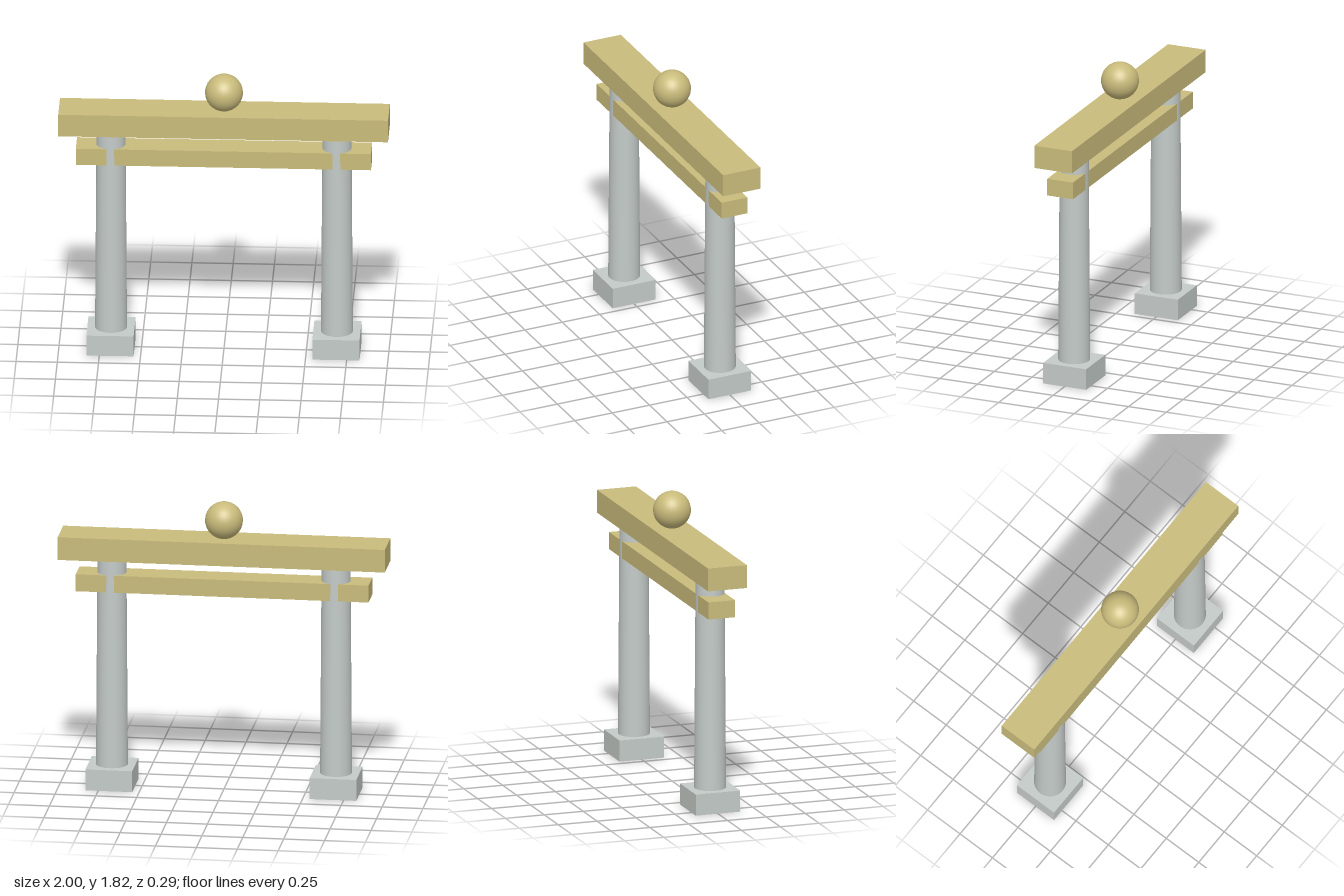
import * as THREE from 'three';

export function createModel() {
  const model = new THREE.Group();
  model.name = 'gateway';

  const stone = new THREE.MeshStandardMaterial({ color: 0xc3cac7 });
  stone.name = 'pale grey stone';
  const gold = new THREE.MeshStandardMaterial({ color: 0xc9bb7b });
  gold.name = 'pale gold';

  function add(name, geometry, material, x, y) {
    const mesh = new THREE.Mesh(geometry, material);
    mesh.name = name;
    mesh.position.set(x, y, 0);
    model.add(mesh);
  }

  // Square plinths and tapering round columns
  const baseHeight = 0.132, columnTop = 1.445;
  const columnHeight = columnTop - baseHeight;
  for (const [side, s] of [['left', 1], ['right', -1]]) {
    add(side + 'Base', new THREE.BoxGeometry(0.286, baseHeight, 0.286), stone, s * 0.685, baseHeight / 2);
    add(side + 'Column', new THREE.CylinderGeometry(0.088, 0.097, columnHeight, 32), stone,
      s * 0.685, baseHeight + columnHeight / 2);
  }

  // Lower tie beam, slightly thinner than the columns it passes through
  add('tieBeam', new THREE.BoxGeometry(1.79, 0.107, 0.171), gold, 0, 1.293);

  // Top beam and the ball resting on it
  add('topBeam', new THREE.BoxGeometry(2, 0.143, 0.25), gold, 0, 1.5165);
  add('ball', new THREE.SphereGeometry(0.115, 32, 20), gold, 0, 1.7);

  return model;
}
